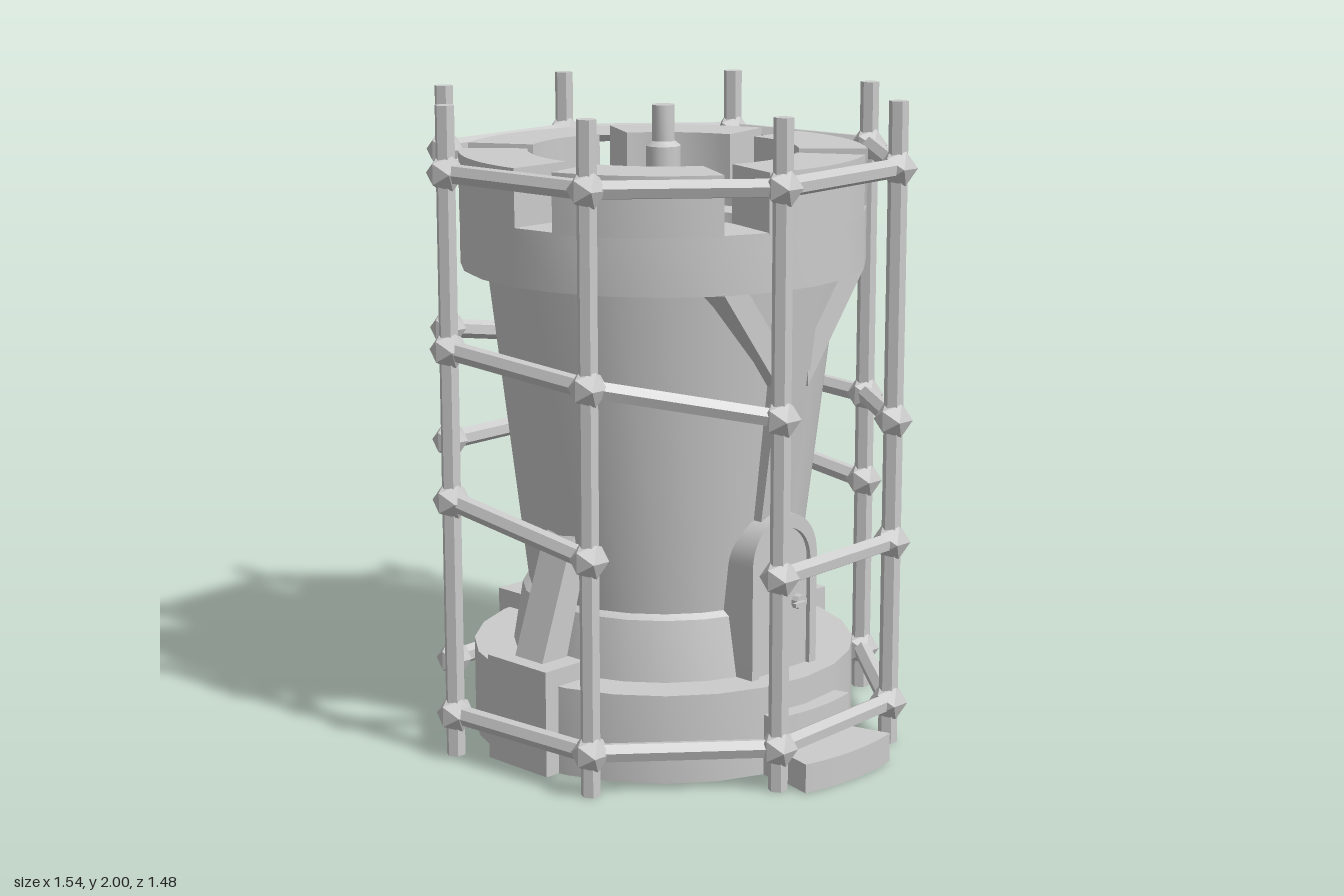
import * as THREE from 'three';
import { toCreasedNormals } from 'three/addons/utils/BufferGeometryUtils.js';

const smooth = new THREE.MeshStandardMaterial({ color: 0xcccccc });
const flat = new THREE.MeshStandardMaterial({ color: 0xcccccc, flatShading: true });
const rad = THREE.MathUtils.degToRad;

function add(parent, name, geometry, material = flat) {
  const mesh = new THREE.Mesh(geometry, material);
  mesh.name = name;
  parent.add(mesh);
  return mesh;
}

function box(parent, name, w, h, d, x, y, z) {
  return add(parent, name, new THREE.BoxGeometry(w, h, d).translate(x, y, z));
}

// Straight six-sided bar between two points
function bar(parent, name, a, b, r) {
  const dir = b.clone().sub(a);
  const mesh = add(parent, name, new THREE.CylinderGeometry(r, r, dir.length(), 6));
  mesh.position.copy(a).add(b).multiplyScalar(0.5);
  mesh.quaternion.setFromUnitVectors(new THREE.Vector3(0, 1, 0), dir.normalize());
}

// Block between two radii; angles in degrees run from +z towards +x
function sector(r0, r1, a0, a1, y, h) {
  const s = new THREE.Shape();
  s.absarc(0, 0, r1, rad(a0 - 90), rad(a1 - 90), false);
  s.absarc(0, 0, r0, rad(a1 - 90), rad(a0 - 90), true);
  const g = new THREE.ExtrudeGeometry(s, { depth: h, bevelEnabled: false, curveSegments: 5 });
  return toCreasedNormals(g.rotateX(-Math.PI / 2).translate(0, y, 0), 0.5);
}

// Profile of [z, y] points given a width along x
function slab(points, width) {
  const s = new THREE.Shape(points.map(([z, y]) => new THREE.Vector2(z, y)));
  const g = new THREE.ExtrudeGeometry(s, { depth: width, bevelEnabled: false });
  return g.rotateY(-Math.PI / 2).translate(width / 2, 0, 0);
}

function archShape(halfWidth, bottom, spring) {
  const s = new THREE.Shape();
  s.moveTo(-halfWidth, bottom);
  s.lineTo(halfWidth, bottom);
  s.absarc(0, spring, halfWidth, 0, Math.PI, false);
  s.closePath();
  return s;
}

// Side group whose local +z points outward from the tower
function side(parent, name, degrees) {
  const g = new THREE.Group();
  g.name = name;
  g.rotation.y = rad(degrees);
  parent.add(g);
  return g;
}

function buildTower() {
  const tower = new THREE.Group();
  tower.name = 'tower';
  tower.position.set(-0.025, 0, -0.005);

  // Hollow foot, plinth ring, flaring shaft, crown and sunken roof floor
  const profile = [
    [0, 1.4], [0.33, 1.4], [0.33, 0], [0.6, 0], [0.6, 0.275], [0.475, 0.275],
    [0.445, 0.46], [0.425, 0.475], [0.545, 1.48], [0.625, 1.48], [0.625, 1.655],
    [0.415, 1.655], [0.415, 1.6], [0.295, 1.6], [0.285, 1.57], [0.11, 1.57],
    [0.105, 1.59], [0, 1.59],
  ].map(([r, y]) => new THREE.Vector2(r, y));
  add(tower, 'towerBody', toCreasedNormals(new THREE.LatheGeometry(profile, 24), 0.4), smooth);

  // Battlements
  for (let i = 0; i < 6; i++)
    add(tower, 'merlon', sector(0.415, 0.625, 13.5 + 60 * i, 60.5 + 60 * i, 1.65, 0.18), smooth);

  // Roof peg
  const peg = [[0, 1.58], [0.055, 1.58], [0.055, 1.84], [0.036, 1.855], [0.036, 1.965], [0, 1.965]]
    .map(([r, y]) => new THREE.Vector2(r, y));
  add(tower, 'roofPeg', toCreasedNormals(new THREE.LatheGeometry(peg, 12), 0.6), smooth);

  // Leaning buttresses on the three sides without a door
  for (const degrees of [0, 180, -90]) {
    const g = side(tower, 'buttress', degrees);
    box(g, 'buttressFoot', 0.255, 0.33, 0.16, 0, 0.165, 0.555);
    add(g, 'buttressBeam', slab([[0.49, 0.3], [0.595, 0.3], [0.463, 0.68], [0.445, 0.7], [0.38, 0.7]], 0.12));
  }

  // Forked posts carrying the crown on both flanks
  for (const degrees of [90, -90]) {
    const g = side(tower, 'forkedPost', degrees);
    add(g, 'post', slab([[0.38, 0.48], [0.44, 0.48], [0.585, 1.485], [0.5, 1.485]], 0.14));
    for (const s of [-1, 1]) {
      const shape = new THREE.Shape();
      shape.moveTo(s * 0.06, 1.16);
      shape.lineTo(s * 0.31, 1.485);
      shape.lineTo(s * 0.21, 1.485);
      shape.lineTo(s * 0.06, 1.29);
      const brace = new THREE.ExtrudeGeometry(shape, { depth: 0.11, bevelEnabled: false });
      add(g, 'brace', brace.translate(0, 0, 0.435));
    }
  }

  // Door with frame, handle and curved steps
  const entrance = side(tower, 'entrance', 90);
  const frame = archShape(0.145, 0.19, 0.625);
  frame.holes.push(archShape(0.115, 0.275, 0.61));
  const frameGeo = new THREE.ExtrudeGeometry(frame, { depth: 0.14, bevelEnabled: false, curveSegments: 10 });
  add(entrance, 'doorFrame', toCreasedNormals(frameGeo.translate(0, 0, 0.375), 0.5), smooth);
  const doorGeo = new THREE.ExtrudeGeometry(archShape(0.118, 0.27, 0.61), { depth: 0.12, bevelEnabled: false });
  add(entrance, 'door', doorGeo.translate(0, 0, 0.38));
  const knob = add(entrance, 'handleRose', new THREE.CylinderGeometry(0.024, 0.024, 0.025, 10));
  knob.rotation.x = Math.PI / 2;
  knob.position.set(0.07, 0.48, 0.51);
  box(entrance, 'handleLever', 0.05, 0.012, 0.014, 0.05, 0.48, 0.53);
  add(tower, 'upperStep', sector(0.45, 0.65, 74.5, 105.5, 0, 0.19), smooth);
  add(tower, 'lowerStep', sector(0.5, 0.8, 76, 104, 0, 0.09), smooth);
  return tower;
}

function buildCage() {
  const cage = new THREE.Group();
  cage.name = 'cage';
  const point = (i, y) => {
    const a = rad(18.5 + 45 * i);
    return new THREE.Vector3(-0.02 + 0.727 * Math.cos(a), y, -0.01 + 0.727 * Math.sin(a));
  };
  // Two level hoops and two tilted hoops with gaps beside the door
  const hoops = [
    { y: 0.13, tilt: 0, peak: 0, gaps: [] },
    { y: 0.755, tilt: 0.113, peak: 3.4, gaps: [0, 6] },
    { y: 1.13, tilt: 0.14, peak: 2, gaps: [7] },
    { y: 1.8, tilt: 0, peak: 0, gaps: [] },
  ];
  for (let i = 0; i < 8; i++) {
    bar(cage, 'pole', point(i, 0), point(i, 2), 0.03);
    for (const { y, tilt, peak, gaps } of hoops) {
      const at = (k) => point(k, y + tilt * Math.cos(rad(45 * (k - peak))));
      add(cage, 'joint', new THREE.IcosahedronGeometry(0.06, 0)).position.copy(at(i));
      if (!gaps.includes(i)) bar(cage, 'hoopBar', at(i), at(i + 1), 0.03);
    }
  }
  return cage;
}

export function createModel() {
  const model = new THREE.Group();
  model.name = 'cagedTower';
  model.add(buildTower(), buildCage());
  return model;
}
